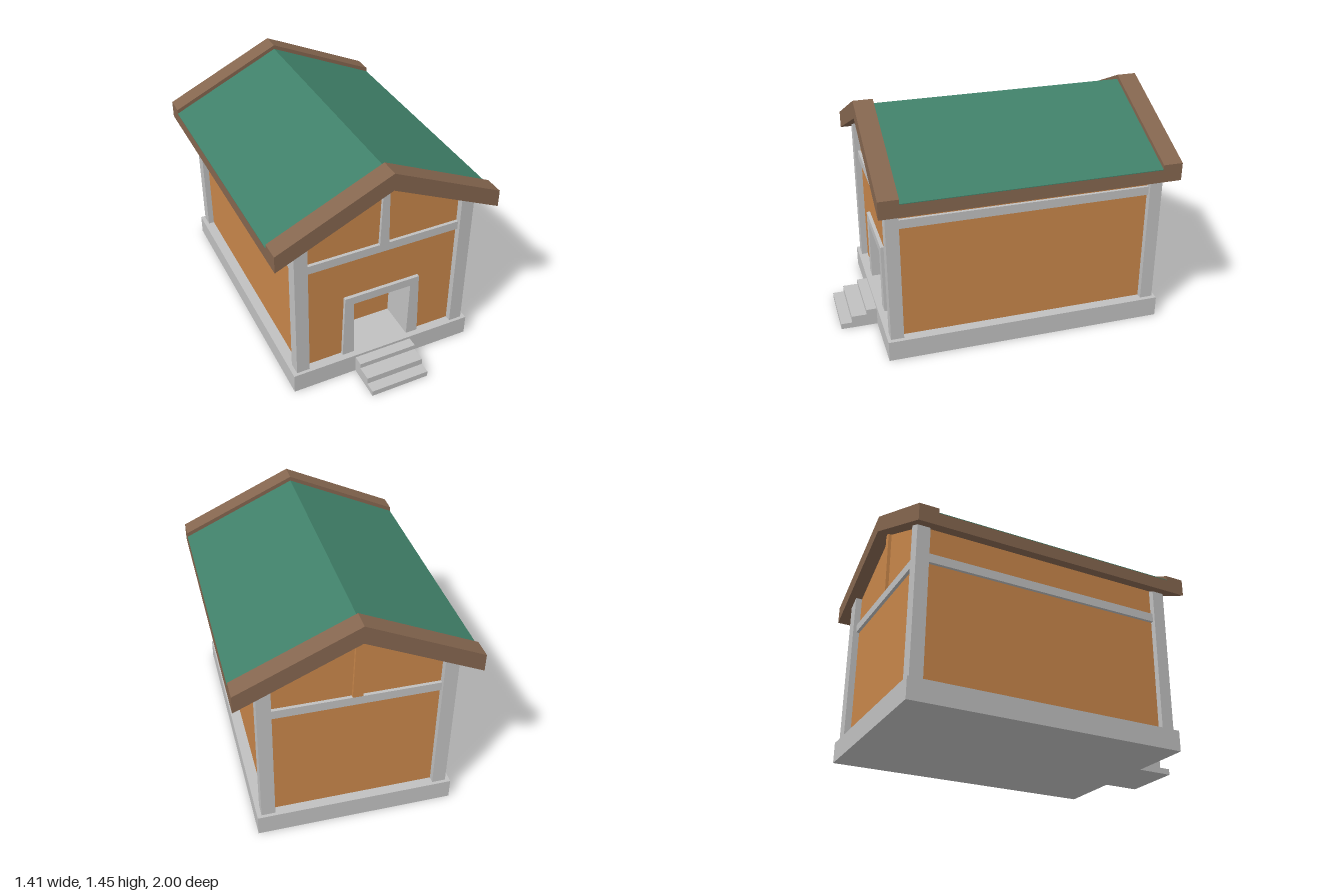
import * as THREE from 'three';

export function createModel() {
  const mat = (name, color) => {
    const m = new THREE.MeshStandardMaterial({ color });
    m.name = name;
    return m;
  };
  const stone = mat('grey stone', 0xc0c0c0);
  const plaster = mat('orange plaster', 0xc8864a);
  const wood = mat('brown wood', 0x85664f);
  const tile = mat('green roofing', 0x408069);

  const model = new THREE.Group();
  model.name = 'house';

  const add = (name, geometry, material) => {
    const mesh = new THREE.Mesh(geometry, material);
    mesh.name = name;
    model.add(mesh);
    return mesh;
  };
  // Box given by its limits on each axis
  const box = (name, material, [x0, x1], [y0, y1], [z0, z1]) =>
    add(name, new THREE.BoxGeometry(x1 - x0, y1 - y0, z1 - z0), material)
      .position.set((x0 + x1) / 2, (y0 + y1) / 2, (z0 + z1) / 2);
  // Front outline extruded between two z values
  const prism = (name, material, points, z0, z1) => {
    const shape = new THREE.Shape(points.map(([x, y]) => new THREE.Vector2(x, y)));
    const geometry = new THREE.ExtrudeGeometry(shape, { depth: z1 - z0, bevelEnabled: false });
    return add(name, geometry.translate(0, 0, z0), material);
  };

  const floorY = 0.13;
  const slope = 0.325 / 0.705;
  const eaveX = 0.705;
  const wallX = 0.535;
  const frontZ = 0.71, backZ = -0.915, doorZ = 0.485;

  // Foundation and entrance steps
  box('foundation', stone, [-0.6, 0.6], [0, floorY], [-0.975, 0.77]);
  [[0.113, 0.835], [0.08, 0.93], [0.037, 1.0]].forEach(([h, z], i, all) =>
    box('step', stone, [-0.19, 0.19], [0, h], [i ? all[i - 1][1] : 0.77, z]));

  // Walls, the front section leaving room for the doorway
  const wallTop = [
    [wallX, 1.345 - slope * wallX], [0, 1.345], [-wallX, 1.345 - slope * wallX], [-wallX, floorY],
  ];
  prism('walls', plaster, [[wallX, floorY], ...wallTop], backZ, doorZ);
  prism('frontWall', plaster, [
    [wallX, floorY], ...wallTop,
    [-0.22, floorY], [-0.22, 0.55], [0.22, 0.55], [0.22, floorY],
  ], doorZ, frontZ);

  // Tapered deep door frame
  prism('doorFrame', stone, [
    [-0.26, floorY], [-0.183, floorY], [-0.19, 0.525], [0.19, 0.525],
    [0.183, floorY], [0.26, floorY], [0.247, 0.58], [-0.247, 0.58],
  ], doorZ, 0.732);

  // Corner posts and side beams
  for (const s of [-1, 1]) {
    const span = (a, b) => (s > 0 ? [a, b] : [-b, -a]);
    for (const z of [[0.67, 0.75], [-0.955, -0.875]])
      box('cornerPost', stone, span(0.49, 0.573), [floorY, 1.12], z);
    box('sideBeam', stone, span(0.5, 0.555), [0.86, 0.915], [-0.88, 0.68]);
  }

  // Gable beams and tapered king posts
  const kingPost = [[-0.03, 0.915], [0.03, 0.915], [0.019, 1.35], [-0.019, 1.35]];
  box('frontBeam', stone, [-0.495, 0.495], [0.86, 0.915], [0.68, 0.73]);
  box('backBeam', stone, [-0.495, 0.495], [0.86, 0.915], [-0.935, -0.88]);
  prism('frontKingPost', stone, kingPost, 0.69, 0.73);
  prism('backKingPost', plaster, kingPost, -0.935, -0.89);

  // Roof: raised boards at the gables, lower deck between them
  const chevron = (top, bottom) => {
    const drop = slope * eaveX;
    return [
      [-eaveX, bottom - drop], [0, bottom], [eaveX, bottom - drop],
      [eaveX, top - drop], [0, top], [-eaveX, top - drop],
    ];
  };
  prism('frontGableBoard', wood, chevron(1.445, 1.335), 0.685, 0.805);
  prism('backGableBoard', wood, chevron(1.445, 1.335), -1.0, -0.88);
  prism('roofDeck', wood, chevron(1.414, 1.335), -0.88, 0.685);
  prism('roofCovering', tile, chevron(1.418, 1.414), -0.88, 0.685);

  return model;
}
